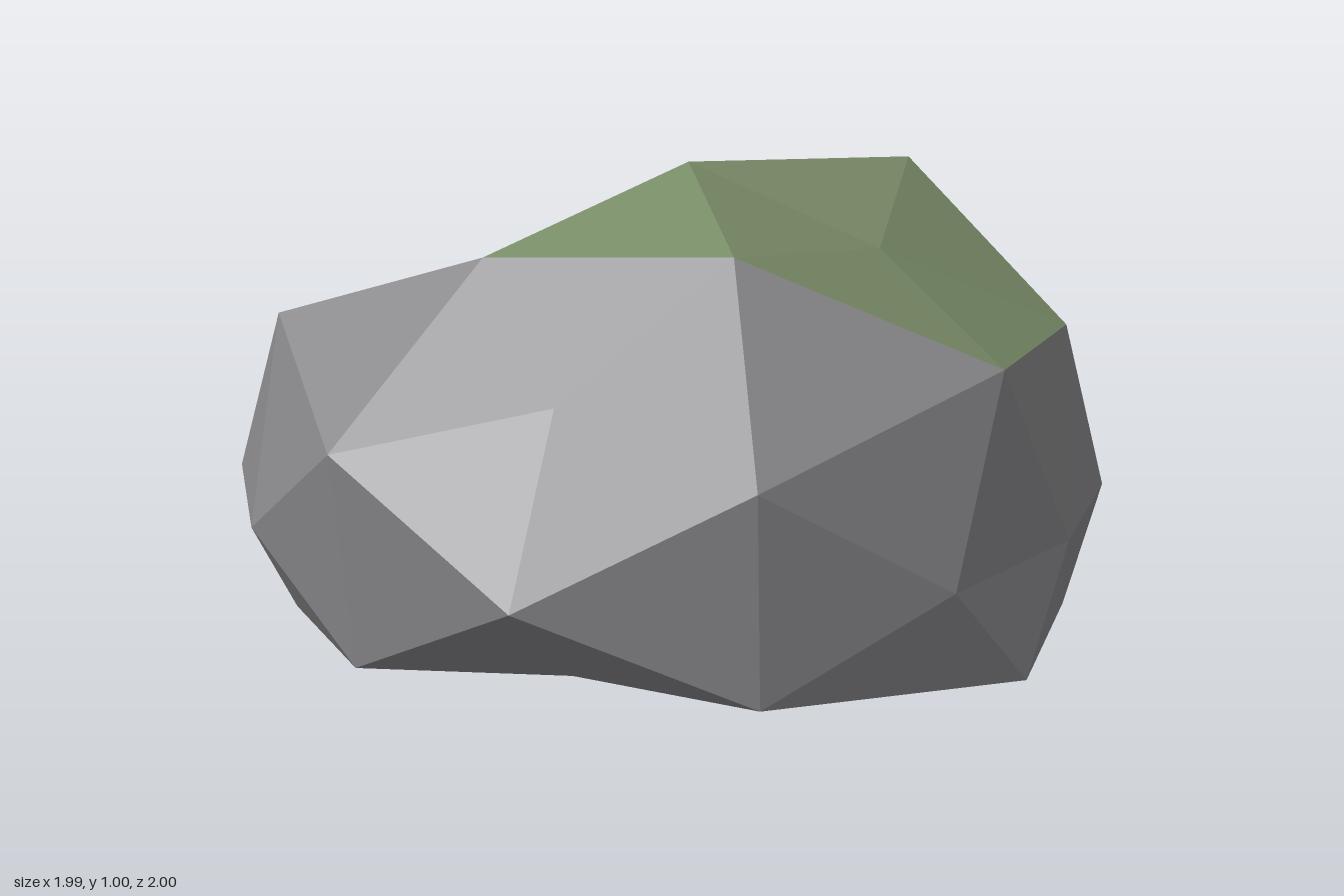
import * as THREE from 'three';

// Low-poly boulder: a subdivided icosahedron pushed in and out along its
// corner directions, cut flat at the ground, with moss on the flatter top faces.
const CENTER = new THREE.Vector3(0.05, 0.225, -0.1);
const SCALE = new THREE.Vector3(0.94, 0.8, 1);
const GROUND_RADIUS = 0.9; // corners hidden in the flat base

// Radii by corner direction; each list runs through the sign combinations
// of the nonzero axes, + before -, the last axis changing fastest.
const RADII = [
  [[1, 0, 0], [0.952, 1.117]],
  [[0, 1, 0], [0.969, GROUND_RADIUS]],
  [[0, 0, 1], [1.095, 0.65]],
  [[0.526, 0.851, 0], [0.91, GROUND_RADIUS, 0.749, GROUND_RADIUS]],
  [[0, 0.526, 0.851], [0.962, 0.717, 0.83, 0.717]],
  [[0.851, 0, 0.526], [1.055, 0.97, 1.025, 0.845]],
  [[0.309, 0.809, 0.5], [1.1, 1.07, GROUND_RADIUS, GROUND_RADIUS, 1.0, 0.845, GROUND_RADIUS, GROUND_RADIUS]],
  [[0.5, 0.309, 0.809], [1.035, 1.07, 1.07, 1.115, 1.085, 0.76, 1.0, 1.0]],
  [[0.809, 0.5, 0.309], [1.16, 1.01, 1.24, 1.0, 1.095, 0.757, 1.045, 1.04]],
];

const key = (x, y, z) => [x, y, z].map((v) => Math.round(v * 10)).join();

function radiusTable() {
  const table = new Map();
  for (const [[x, y, z], radii] of RADII) {
    let i = 0;
    for (const sx of x ? [1, -1] : [1])
      for (const sy of y ? [1, -1] : [1])
        for (const sz of z ? [1, -1] : [1]) table.set(key(x * sx, y * sy, z * sz), radii[i++]);
  }
  return table;
}

function facesToMesh(name, faces, material) {
  const geometry = new THREE.BufferGeometry().setFromPoints(faces.flat());
  geometry.computeVertexNormals();
  const mesh = new THREE.Mesh(geometry, material);
  mesh.name = name;
  return mesh;
}

export function createModel() {
  const stone = new THREE.MeshStandardMaterial({ color: 0x8a898c });
  stone.name = 'grey stone';
  const moss = new THREE.MeshStandardMaterial({ color: 0x7b8e69 });
  moss.name = 'green moss';

  // Shape the corners
  const table = radiusTable();
  const base = new THREE.IcosahedronGeometry(1, 1).toNonIndexed?.call
    ? new THREE.IcosahedronGeometry(1, 1)
    : null;
  const pos = base.attributes.position;
  const corner = (i) => {
    const p = new THREE.Vector3().fromBufferAttribute(pos, i);
    const r = table.get(key(p.x, p.y, p.z)) ?? 1;
    p.multiplyScalar(r).multiply(SCALE).add(CENTER);
    p.y = Math.max(p.y, 0);
    return p;
  };

  // Sort the faces into bare stone and mossy top
  const stoneFaces = [];
  const mossFaces = [];
  for (let i = 0; i < pos.count; i += 3) {
    const face = [corner(i), corner(i + 1), corner(i + 2)];
    const triangle = new THREE.Triangle(...face);
    const up = triangle.getNormal(new THREE.Vector3()).y;
    const height = triangle.getMidpoint(new THREE.Vector3()).y;
    (up > 0.787 && height > 0.6 ? mossFaces : stoneFaces).push(face);
  }

  const model = new THREE.Group();
  model.name = 'mossyBoulder';
  model.add(facesToMesh('boulder', stoneFaces, stone), facesToMesh('mossCap', mossFaces, moss));
  return model;
}
